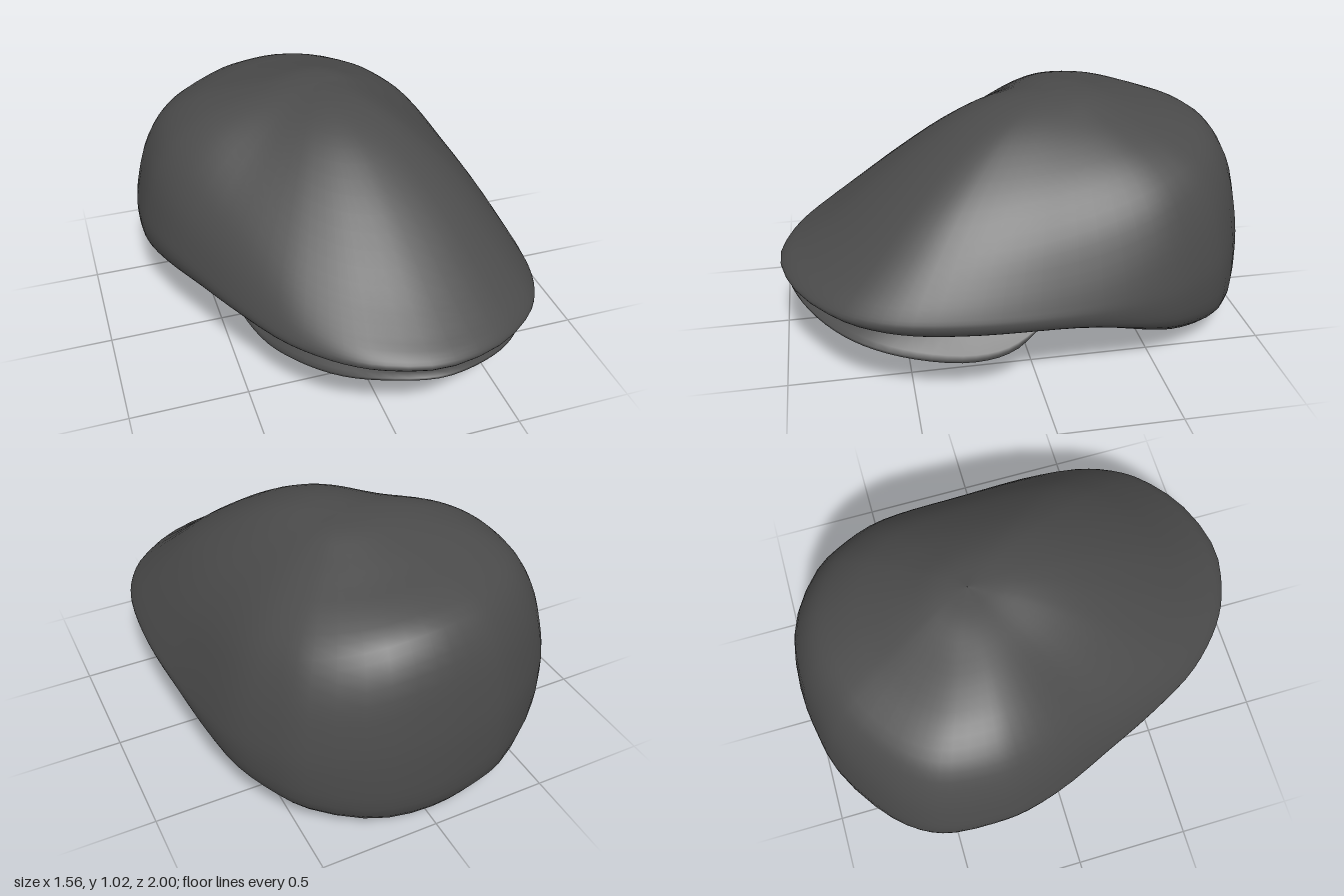
import * as THREE from 'three';

// Surface from an nu x nv grid of points; either direction may wrap.
function grid(nu, nv, wrapU, wrapV, pointAt) {
  const pos = [], idx = [];
  for (let i = 0; i < nu; i++) for (let j = 0; j < nv; j++) pos.push(...pointAt(i, j));
  const id = (i, j) => (i % nu) * nv + (j % nv);
  for (let i = 0; i < (wrapU ? nu : nu - 1); i++) {
    for (let j = 0; j < (wrapV ? nv : nv - 1); j++) {
      const a = id(i, j), b = id(i + 1, j), c = id(i, j + 1), d = id(i + 1, j + 1);
      idx.push(a, b, c, b, d, c);
    }
  }
  const g = new THREE.BufferGeometry();
  g.setAttribute('position', new THREE.Float32BufferAttribute(pos, 3));
  g.setIndex(idx);
  g.computeVertexNormals();
  return g;
}

const curve = (pts, closed = false) =>
  new THREE.CatmullRomCurve3(pts.map(p => new THREE.Vector3(...p)), closed, 'centripetal');

// Widest outline of the crown, as [x, z], from the back round the left side
const OUTLINE = [
  [0, -1], [0.25, -0.97], [0.5, -0.83], [0.6, -0.7], [0.68, -0.55], [0.73, -0.35],
  [0.76, -0.1], [0.775, 0.1], [0.775, 0.3], [0.75, 0.52], [0.7, 0.66], [0.62, 0.78],
  [0.42, 0.93], [0.15, 1], [-0.07, 0.95], [-0.19, 0.885], [-0.3, 0.79], [-0.4, 0.67],
  [-0.52, 0.45], [-0.62, 0.23], [-0.72, 0], [-0.77, -0.18], [-0.78, -0.3],
  [-0.76, -0.52], [-0.71, -0.64], [-0.6, -0.77], [-0.36, -0.93], [-0.2, -0.975],
];
const APEX = [0.04, -0.2];

// Heights from apex to rim at each radius fraction, every 45 degrees from front via left
const RADII = [0.001, 0.17, 0.33, 0.5, 0.67, 0.82, 0.92, 0.98, 1, 0.98];
const PROFILES = [
  [1.02, 1.005, 0.945, 0.83, 0.685, 0.55, 0.47, 0.425, 0.395, 0.372, 0.363],
  [1.02, 1.003, 0.95, 0.855, 0.73, 0.585, 0.475, 0.4, 0.36, 0.325, 0.305],
  [1.02, 1.003, 0.955, 0.88, 0.78, 0.645, 0.5, 0.39, 0.335, 0.285, 0.255],
  [1.02, 1.01, 0.967, 0.915, 0.85, 0.755, 0.615, 0.45, 0.32, 0.17, 0.1],
  [1.02, 1.015, 0.98, 0.94, 0.905, 0.85, 0.73, 0.52, 0.33, 0.1, 0],
  [1.02, 1.015, 0.985, 0.95, 0.905, 0.83, 0.69, 0.5, 0.35, 0.15, 0.05],
  [1.02, 1.013, 0.993, 0.96, 0.905, 0.81, 0.68, 0.52, 0.42, 0.33, 0.27],
  [1.02, 1.007, 0.967, 0.89, 0.79, 0.68, 0.575, 0.475, 0.415, 0.375, 0.355],
];

// Smooth periodic blend of the profiles at a given angle
function heights(angle) {
  const s = ((angle / (Math.PI / 4)) + 8) % 8, k = Math.floor(s), t = s - k;
  const [p, q, r, w] = [7, 0, 1, 2].map(o => PROFILES[(k + o) % 8]);
  return q.map((y, j) => y + 0.5 * t * (r[j] - p[j]
    + t * (2 * p[j] - 5 * y + 4 * r[j] - w[j] + t * (3 * (y - r[j]) + w[j] - p[j]))));
}

// Crown: outer skin, rolled rim, head band wall and slanted lining
function crownGeometry() {
  const N = 72, OUTER = 33;
  const outline = curve(OUTLINE.map(([x, z]) => [x, 0, z]), true);
  const columns = [];
  for (let i = 0; i < N; i++) {
    const p = outline.getPoint(i / N);
    const dx = p.x - APEX[0], dz = p.z - APEX[1];
    const angle = Math.atan2(dx, dz), c = Math.cos(angle);
    const h = heights(angle), rim = h[10], rimR = 0.915 + 0.035 * c;
    const skin = curve([...RADII, rimR].map((r, j) => [r, h[j], 0]));
    const bandR = rimR - 0.05 - 0.28 * Math.max(0, c) ** 2;
    const topR = bandR - 0.06;
    const lid = r => [r, 0.5 + 0.25 * (APEX[1] + dz * r), 0];
    const profile = skin.getPoints(OUTER - 1).map(v => v.toArray());
    profile.push(
      [rimR - 0.03, rim + 0.008, 0], [bandR + 0.005, rim + 0.025, 0], [bandR, rim + 0.04, 0],
      [(bandR + topR) / 2, (rim + 0.04 + lid(topR)[1]) / 2, 0],
      // Doubled rings keep the edge of the lining crisp
      lid(topR + 0.003), lid(topR), lid(topR - 0.01), lid(topR * 0.5), lid(0.001),
    );
    columns.push(profile.map(([r, y]) => [APEX[0] + dx * r, y, APEX[1] + dz * r]));
  }
  return grid(N, columns[0].length, true, false, (i, j) => columns[i][j]);
}

// Brim: thin crescent between an outer edge and the head band, pinched at the ends
function brimGeometry() {
  const N = 49;
  const outer = curve([
    [0.66, 0.27, -0.02], [0.705, 0.19, 0.12], [0.71, 0.165, 0.28], [0.69, 0.195, 0.5],
    [0.63, 0.235, 0.68], [0.52, 0.265, 0.81], [0.35, 0.3, 0.92], [0.15, 0.317, 0.97],
    [-0.05, 0.308, 0.91], [-0.2, 0.285, 0.81], [-0.33, 0.26, 0.65], [-0.42, 0.25, 0.48],
    [-0.48, 0.3, 0.32], [-0.5, 0.37, 0.2],
  ]);
  const inner = curve([
    [0.63, 0.29, -0.03], [0.56, 0.33, 0.2], [0.42, 0.36, 0.42], [0.1, 0.375, 0.52],
    [-0.2, 0.375, 0.48], [-0.4, 0.375, 0.32], [-0.49, 0.385, 0.19],
  ]);
  // Section loop: [share of the way to the outer edge, height offset]
  const section = [
    [0, 1], [0.33, 1], [0.66, 1], [0.95, 1], [1, 0.4],
    [1, -0.4], [0.95, -1], [0.66, -1], [0.33, -1], [0, -1],
  ];
  return grid(N, section.length, false, true, (i, j) => {
    const t = i / (N - 1), [s, o] = section[j];
    const p = inner.getPoint(t).lerp(outer.getPoint(t), s);
    const half = 0.014 * Math.min(1, Math.sin(Math.PI * t) * 6);
    return [p.x, p.y + o * half, p.z];
  });
}

export function createModel() {
  const cloth = new THREE.MeshStandardMaterial({ color: 0x4b4b4b, side: THREE.DoubleSide });
  cloth.name = 'charcoal cloth';
  const cap = new THREE.Group();
  cap.name = 'flatCap';
  const add = (name, geometry) => {
    const mesh = new THREE.Mesh(geometry, cloth);
    mesh.name = name;
    cap.add(mesh);
  };
  add('crown', crownGeometry());
  add('brim', brimGeometry());
  return cap;
}
